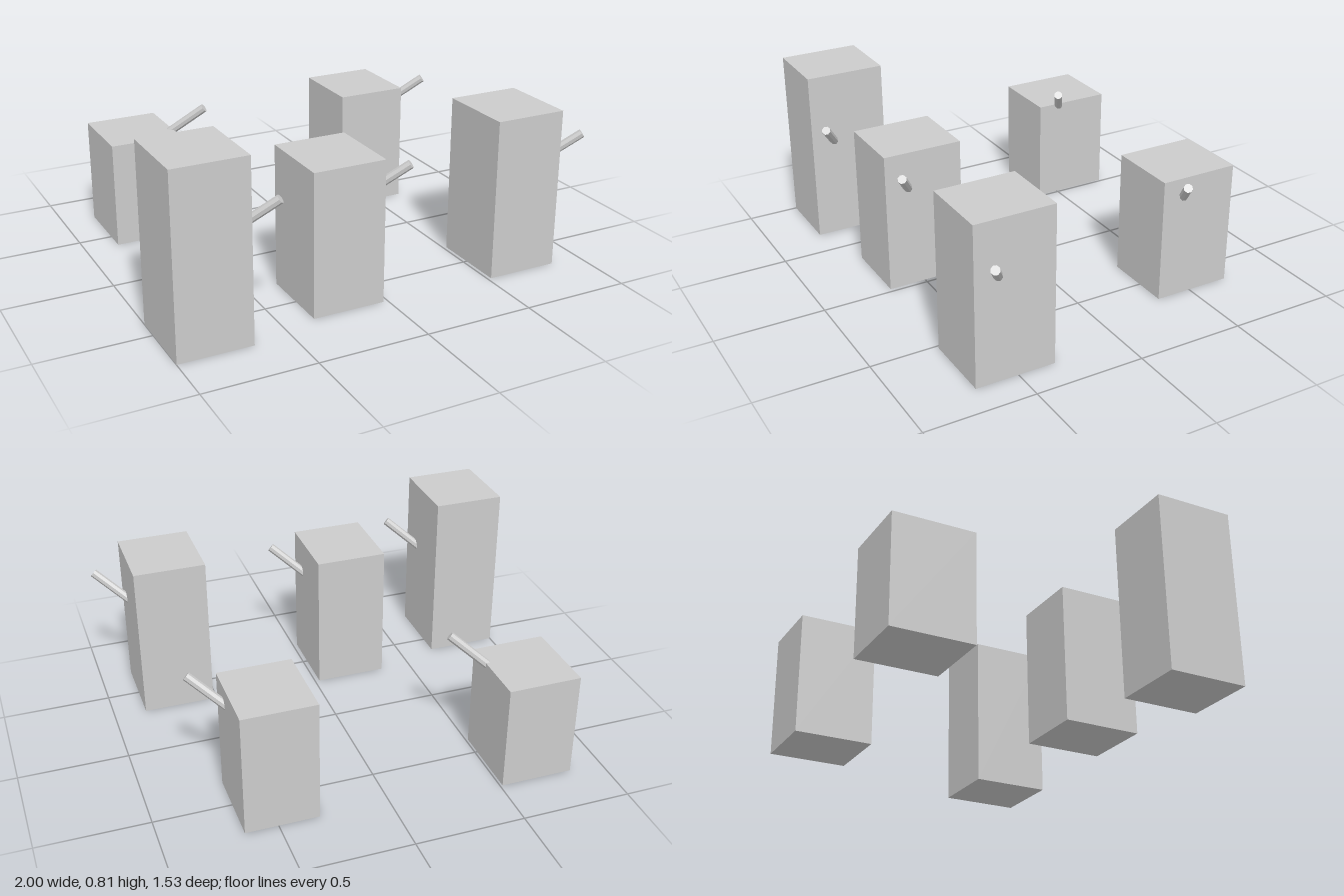
import * as THREE from 'three';

const WIDTH = 0.333, DEPTH = 0.367;

// centre x, centre z and height of each block
const BLOCKS = [
  [-0.833, 0.578, 0.815],
  [-0.188, 0.489, 0.653],
  [0.684, 0.512, 0.735],
  [-0.678, -0.581, 0.493],
  [0.482, -0.516, 0.575],
];

// cylinder running between two points
function rod(start, end, radius, material) {
  const axis = end.clone().sub(start);
  const mesh = new THREE.Mesh(new THREE.CylinderGeometry(radius, radius, axis.length(), 8), material);
  mesh.position.copy(start).add(end).multiplyScalar(0.5);
  mesh.quaternion.setFromUnitVectors(new THREE.Vector3(0, 1, 0), axis.normalize());
  return mesh;
}

export function createModel() {
  const model = new THREE.Group();
  const material = new THREE.MeshStandardMaterial({ color: 0xcccccc, flatShading: true });

  for (const [x, z, height] of BLOCKS) {
    const unit = new THREE.Group();
    unit.name = 'blockWithLever';
    unit.position.set(x, 0, z);

    // upright block standing on the floor
    const block = new THREE.Mesh(new THREE.BoxGeometry(WIDTH, height, DEPTH), material);
    block.name = 'block';
    block.position.y = height / 2;

    // slanted lever, at the same height on every block, rooted in its +x side
    const lever = rod(
      new THREE.Vector3(0.12, 0.449, 0.05),
      new THREE.Vector3(0.299, 0.602, 0.16),
      0.02, material);
    lever.name = 'lever';

    unit.add(block, lever);
    model.add(unit);
  }
  return model;
}
